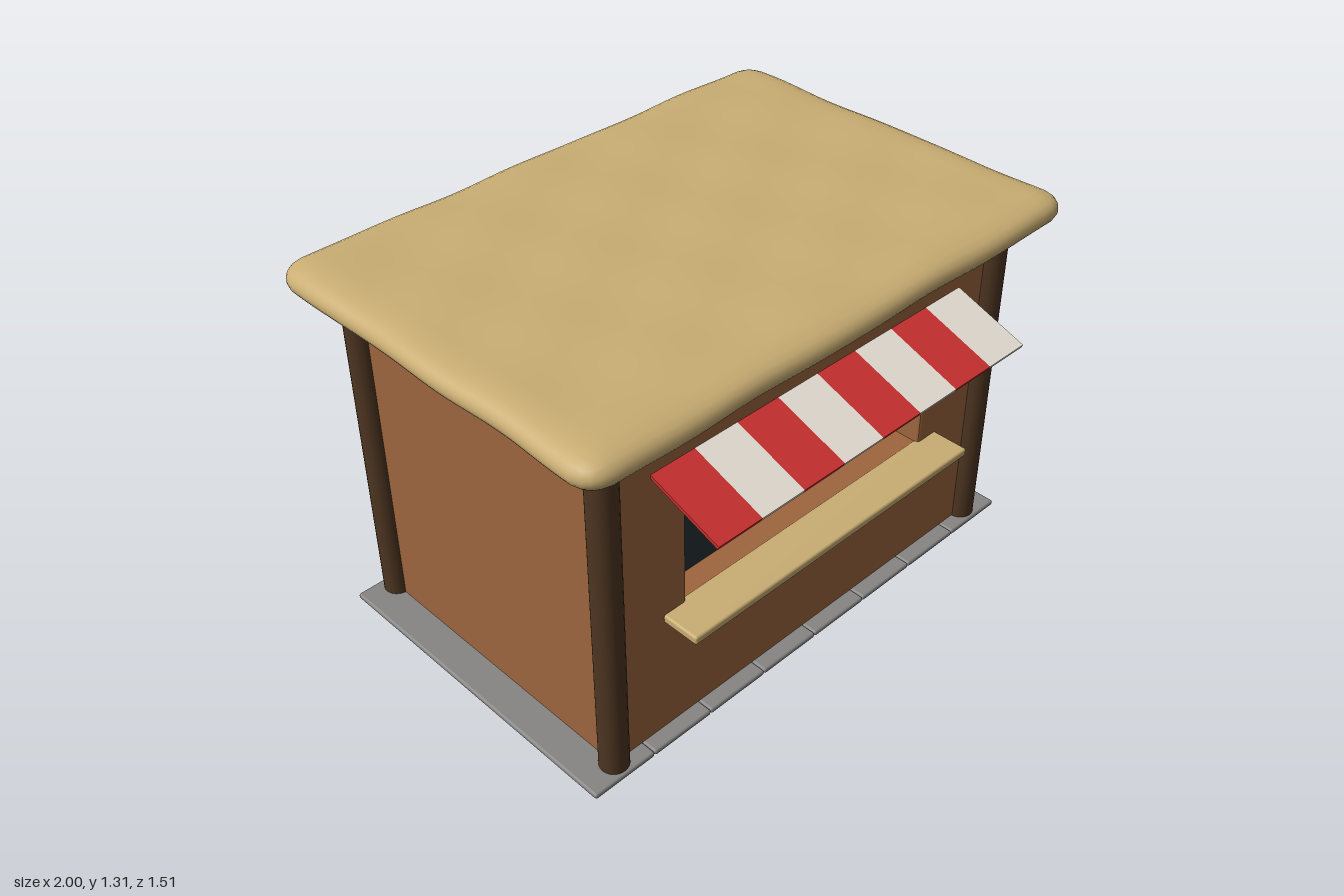
import * as THREE from 'three';
import { mergeVertices } from 'three/addons/utils/BufferGeometryUtils.js';
import { RoundedBoxGeometry } from 'three/addons/geometries/RoundedBoxGeometry.js';

const paint = (name, color) => Object.assign(new THREE.MeshStandardMaterial({ color }), { name });

// Thick padded slab: a fine box with elliptical edges and a gentle wobble
function thatchGeometry(w, h, d, bevel) {
  const geo = new THREE.BoxGeometry(w, bevel * 2, d, 48, 8, 34);
  const pos = geo.attributes.position;
  const p = new THREE.Vector3();
  const core = new THREE.Vector3();
  const limX = w / 2 - bevel, limZ = d / 2 - bevel;
  for (let i = 0; i < pos.count; i++) {
    p.fromBufferAttribute(pos, i);
    core.set(THREE.MathUtils.clamp(p.x, -limX, limX), 0, THREE.MathUtils.clamp(p.z, -limZ, limZ));
    p.sub(core).setLength(bevel);
    p.y *= h / (2 * bevel);
    p.add(core);
    const { x, z } = p;
    p.x += 0.004 * Math.sin(z * 11 + 1) * Math.sign(x) * Math.min(1, Math.abs(x));
    p.z += 0.004 * Math.sin(x * 9 + 2) * Math.sign(z) * Math.min(1, Math.abs(z));
    p.y += 0.0025 * Math.sin(x * 13 + z * 5) * Math.cos(z * 11 - x * 3);
    pos.setXYZ(i, p.x, p.y, p.z);
  }
  geo.deleteAttribute('normal');
  geo.deleteAttribute('uv');
  const merged = mergeVertices(geo, 1e-5);
  merged.computeVertexNormals();
  return merged;
}

export function createModel() {
  const model = new THREE.Group();
  model.name = 'marketStall';

  const clay = paint('clay', 0x9e663f);
  const darkWood = paint('darkWood', 0x4d3521);
  const straw = paint('straw', 0xc9ad73);
  const stone = paint('stone', 0x868584);
  const glass = paint('darkGlass', 0x253235);
  const red = paint('redCloth', 0xc9302f);
  const white = paint('whiteCloth', 0xe6dfd3);

  function add(name, geo, mat, x = 0, y = 0, z = 0, parent = model) {
    const mesh = new THREE.Mesh(geo, mat);
    mesh.name = name;
    mesh.position.set(x, y, z);
    parent.add(mesh);
    return mesh;
  }

  const midZ = -0.05;

  // Floor planks
  const plank = new RoundedBoxGeometry(0.239, 0.02, 1.205, 2, 0.008);
  for (let i = 0; i < 8; i++) add('floorPlank', plank, stone, (i - 3.5) * 0.24, 0.01, midZ);

  // Corner posts
  const post = new THREE.CylinderGeometry(0.048, 0.048, 1.22, 24);
  for (const x of [-0.835, 0.835]) {
    for (const z of [0.495, -0.595]) add('cornerPost', post, darkWood, x, 0.63, z);
  }

  // Front wall with a serving opening, softly bevelled
  const front = new THREE.Shape([
    new THREE.Vector2(-0.83, 0.025), new THREE.Vector2(0.83, 0.025),
    new THREE.Vector2(0.83, 1.23), new THREE.Vector2(-0.83, 1.23),
  ]);
  front.holes.push(new THREE.Path([
    new THREE.Vector2(-0.545, 0.475), new THREE.Vector2(-0.545, 0.875),
    new THREE.Vector2(0.545, 0.875), new THREE.Vector2(0.545, 0.475),
  ]));
  add('frontWall', new THREE.ExtrudeGeometry(front, {
    depth: 0.08, bevelSize: 0.01, bevelThickness: 0.01, bevelSegments: 2,
  }), clay, 0, 0, 0.41);

  // Back and side walls
  add('backWall', new THREE.BoxGeometry(1.67, 1.21, 0.06), clay, 0, 0.625, -0.57);
  for (const s of [-1, 1]) {
    add('sideWall', new THREE.BoxGeometry(0.06, 1.21, 1.08), clay, s * 0.81, 0.625, midZ);
  }

  // Dark window panel and counter
  add('windowPanel', new THREE.BoxGeometry(1.14, 0.46, 0.009), glass, 0, 0.67, 0.396);
  add('counter', new RoundedBoxGeometry(1.25, 0.03, 0.15, 2, 0.008), straw, 0, 0.473, 0.557);

  // Sloping striped awning
  const awning = new THREE.Group();
  awning.name = 'awning';
  awning.position.set(0, 0.986, 0.623);
  awning.rotation.x = Math.atan2(0.096, 0.267);
  model.add(awning);
  const stripe = new THREE.BoxGeometry(0.1667, 0.012, 0.286);
  for (let i = 0; i < 8; i++) {
    add('awningStripe', stripe, i % 2 ? white : red, (i - 3.5) * 0.1667, 0, 0, awning);
  }

  // Padded roof
  add('roof', thatchGeometry(1.994, 0.104, 1.4, 0.085), straw, 0, 1.252, midZ);

  return model;
}
